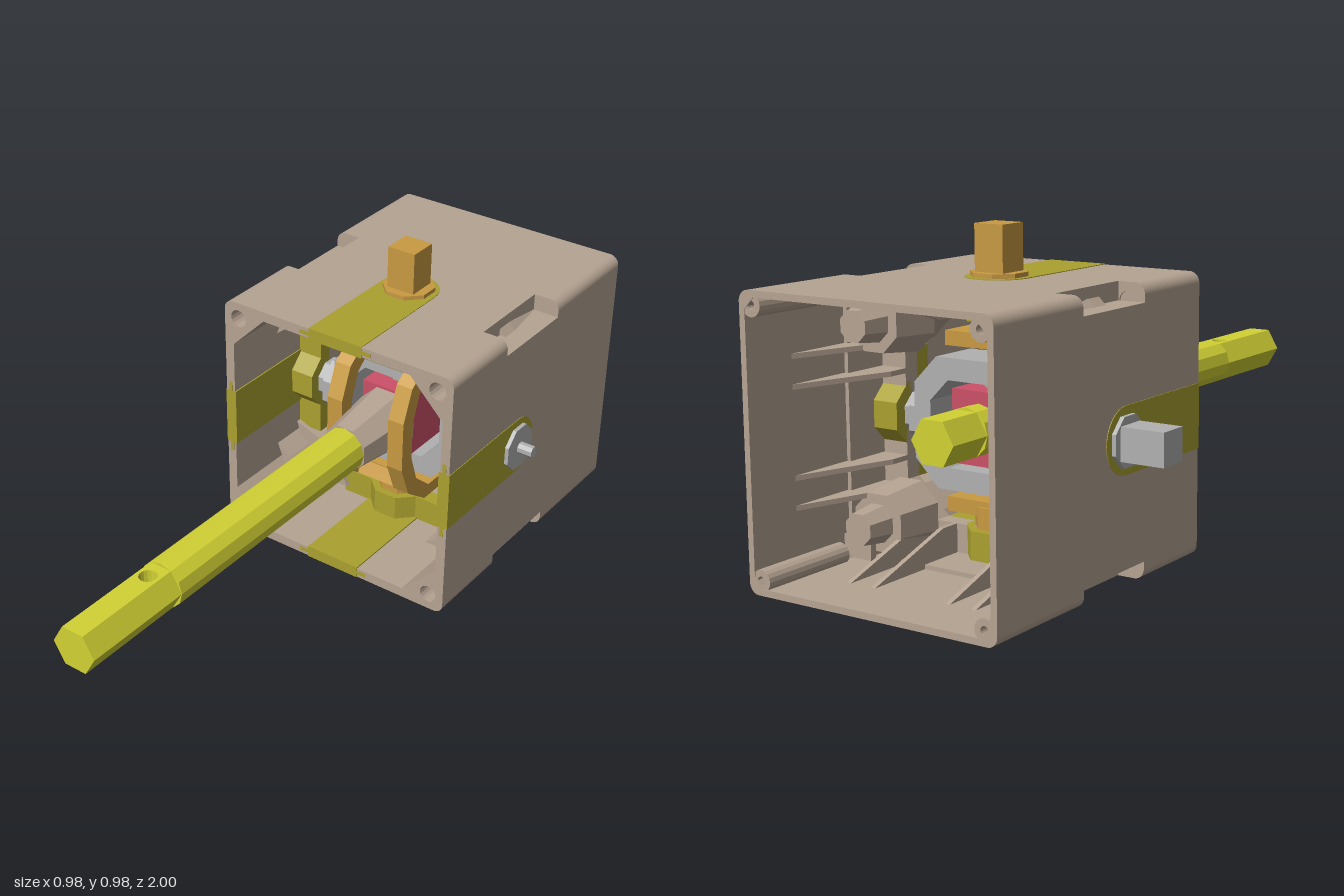
import * as THREE from 'three';

const mat = (color) => new THREE.MeshStandardMaterial({ color, flatShading: true, side: THREE.DoubleSide });
const TAN = mat(0xb5a392), OLIVE = mat(0xaaa030), YELLOW = mat(0xd2d234);
const ORANGE = mat(0xc89a42), GREY = mat(0xb0b0b0), PINK = mat(0xcc5068), GREEN = mat(0xa8b888);
const PIVOT = -0.45; // depth of the crossing axles

function add(parent, name, geo, material, x = 0, y = 0, z = 0) {
  const m = new THREE.Mesh(geo, material);
  m.name = name;
  m.position.set(x, y, z);
  parent.add(m);
  return m;
}
const box = (w, h, d) => new THREE.BoxGeometry(w, h, d);
const poly = (pts) => new THREE.Shape(pts.map(([x, y]) => new THREE.Vector2(x, y)));
const extrude = (shape, depth) => new THREE.ExtrudeGeometry(shape, { depth, bevelEnabled: false, curveSegments: 8 });
const prism = (r, len, sides, r2 = r) => new THREE.CylinderGeometry(r2, r, len, sides).rotateY(Math.PI / sides);

// Square with corners cut by (cx, cy); stepped gives square notches
function cutSquare(h, cx, cy = cx, stepped = false) {
  const pts = [];
  for (const [sx, sy] of [[1, 1], [-1, 1], [-1, -1], [1, -1]]) {
    const c = [[sx * h, sy * (h - cy)], [sx * (h - cx), sy * h]];
    if (stepped) c.splice(1, 0, [sx * (h - cx), sy * (h - cy)]);
    if (sx * sy < 0) c.reverse();
    pts.push(...c);
  }
  return poly(pts);
}
function roundedSquare(h, r) {
  const s = new THREE.Shape(), k = h - r;
  [[k, k], [-k, k], [-k, -k], [k, -k]].forEach(([x, y], i) =>
    s.absarc(x, y, r, i * Math.PI / 2, (i + 1) * Math.PI / 2, false));
  return s;
}
function circle(x, y, r) {
  return new THREE.Path().absarc(x, y, r, 0, Math.PI * 2, true);
}
const corners = [[1, 1], [-1, 1], [-1, -1], [1, -1]];

function makeHousing() {
  const g = new THREE.Group();
  g.name = 'housing';
  // front rim with screw holes in the corners
  const front = roundedSquare(0.39, 0.03);
  front.holes.push(cutSquare(0.36, 0.11), ...corners.map(([x, y]) => circle(x * 0.34, y * 0.34, 0.027)));
  add(g, 'frontShell', extrude(front, 0.275), TAN, 0, 0, -0.36);
  // middle section with notched edges
  const mid = cutSquare(0.39, 0.08, 0.05, true);
  mid.holes.push(cutSquare(0.36, 0.08, 0.05, true));
  add(g, 'notchedShell', extrude(mid, 0.28), TAN, 0, 0, -0.64);
  // open back with small screw posts
  const back = roundedSquare(0.39, 0.03);
  back.holes.push(cutSquare(0.372, 0.03));
  add(g, 'backShell', extrude(back, 0.36), TAN, 0, 0, -1);
  // inner web with an eight-sided opening
  const web = cutSquare(0.37, 0.07);
  web.holes.push(cutSquare(0.28, 0.1));
  add(g, 'web', extrude(web, 0.05), TAN, 0, 0, -0.5);
  for (const [sx, sy] of corners) {
    add(g, 'notchEnd', box(0.1, 0.07, 0.02), TAN, sx * 0.33, sy * 0.345, -0.65);
    add(g, 'holeBottom', box(0.06, 0.06, 0.02), TAN, sx * 0.34, sy * 0.34, -0.345);
    const postShape = new THREE.Shape().absarc(sx * 0.352, sy * 0.352, 0.03, 0, Math.PI * 2, false);
    postShape.holes.push(circle(sx * 0.352, sy * 0.352, 0.012));
    add(g, 'backPost', extrude(postShape, 0.3), TAN, 0, 0, -0.998);
    // stepped gussets in front of the web
    [[0.17, 0.08, 0.17], [0.2, 0.13, 0.07]].forEach(([a, b, d]) => {
      const p = [[0.365, 0.365], [0.365 - a, 0.365], [0.365 - a + 0.035, 0.365 - b + 0.03],
        [0.365 - b + 0.03, 0.365 - a + 0.035], [0.365, 0.365 - a]];
      const inner = p.map(([x, y]) => [sx * Math.min(x, 0.305 + (y < 0.335 ? 0.055 : 0)), sy * Math.min(y, 0.335)]);
      add(g, 'cornerGusset', extrude(poly(inner), d), TAN, 0, 0, -0.46);
    });
    // rear boss on the corner
    add(g, 'cornerBoss', prism(0.085, 0.14, 8, 0.1).rotateX(Math.PI / 2), TAN, sx * 0.27, sy * 0.27, -0.57);
    add(g, 'cornerBossTip', prism(0.045, 0.08, 8, 0.055).rotateX(Math.PI / 2), TAN, sx * 0.27, sy * 0.27, -0.68);
  }
  return g;
}

// One wall's bearing insert, plus the fins behind it (built for the top wall)
function makeWallFittings() {
  const g = new THREE.Group();
  g.name = 'bearingInsert';
  const u = new THREE.Shape();
  u.moveTo(0.09, 0.084);
  u.lineTo(0.09, -PIVOT);
  u.absarc(0, -PIVOT, 0.09, 0, Math.PI, false);
  u.lineTo(-0.09, 0.084);
  add(g, 'slideStrip', extrude(u, 0.036).rotateX(-Math.PI / 2), OLIVE, 0, 0.356, 0);
  add(g, 'slideTongue', box(0.24, 0.012, 0.3), OLIVE, 0, 0.374, -0.234);
  add(g, 'bearing', prism(0.098, 0.08, 8), OLIVE, 0, 0.32, PIVOT);
  add(g, 'bearingPlate', box(0.36, 0.08, 0.05), OLIVE, 0, 0.32, -0.43);
  // triangular stiffening fins
  for (const x of [-0.2, -0.12, 0.12, 0.2]) {
    const fin = extrude(poly([[0.49, 0.375], [0.49, 0.28], [0.56, 0.28], [0.85, 0.375]]), 0.014);
    fin.rotateY(Math.PI / 2);
    add(g, 'fin', fin, TAN, x - 0.007, 0, 0);
  }
  return g;
}

function makeStick() {
  const g = new THREE.Group();
  g.name = 'stick';
  const along = (r, z0, z1, sides, r2 = r) =>
    new THREE.CylinderGeometry(r2, r, z1 - z0, sides).rotateX(Math.PI / 2).translate(0, 0, (z0 + z1) / 2);
  add(g, 'stickShaft', along(0.068, -0.6, 0.67, 12), YELLOW);
  add(g, 'stickTail', along(0.0675, -0.74, -0.58, 6).rotateZ(Math.PI / 2), YELLOW);
  // six-sided tip: drilled core and two side wedges
  const R = 0.0675, f = R * Math.sqrt(3) / 2, half = R / 2;
  const core = poly([[-half, -1], [half, -1], [half, -0.67], [-half, -0.67]]);
  core.holes.push(circle(0, -0.72, 0.025));
  add(g, 'drilledTip', extrude(core, 2 * f).rotateX(-Math.PI / 2), YELLOW, 0, -f, 0);
  for (const s of [-1, 1])
    add(g, 'tipSide', extrude(poly([[s * half, -f], [s * R, 0], [s * half, f]]), 0.33), YELLOW, 0, 0, 0.67);
  // collar and hub at the pivot
  add(g, 'stickCollar', along(0.1, -0.36, -0.14, 8, 0.074).rotateZ(Math.PI / 8), TAN);
  add(g, 'hub', box(0.175, 0.2, 0.19), PINK, 0, 0, PIVOT);
  add(g, 'hubPin', prism(0.045, 0.24, 8), GREEN, 0, 0, PIVOT);
  return g;
}

// Axle along y: steps of [radius, from, to], square drive at the top, thin pin below
function makeAxle(name, material, steps) {
  const g = new THREE.Group();
  g.name = name;
  for (const s of [1, -1])
    for (const [r, a, b] of steps) add(g, 'axleStep', prism(r, b - a, 8), material, 0, s * (a + b) / 2, 0);
  add(g, 'squareDrive', box(0.09, 0.13, 0.09), material, 0, 0.465, 0);
  add(g, 'sensorPin', prism(0.018, 0.07, 8), material, 0, -0.415, 0);
  g.position.z = PIVOT;
  return g;
}

function makeOrangeYoke() {
  const g = makeAxle('verticalYoke', ORANGE, [[0.074, 0.22, 0.395], [0.078, 0.385, 0.404]]);
  // faceted arch bulging forward, split by the slot for the stick
  const outer = [[0, 0.245], [0.08, 0.245], [0.17, 0.18], [0.21, 0.08]];
  const inner = [[0, 0.205], [0.06, 0.205], [0.13, 0.145], [0.16, 0.06]];
  const flip = (a) => a.map(([z, y]) => [z, -y]).reverse();
  const arch = poly([...outer, ...flip(outer), ...inner.map(([z, y]) => [z, -y]), ...flip(inner).map(([z, y]) => [z, -y])]);
  for (const x of [-0.135, 0.082])
    add(g, 'yokeArch', extrude(arch, 0.053).rotateY(-Math.PI / 2).translate(0.053, 0, 0), ORANGE, x, 0, 0);
  for (const s of [1, -1]) {
    add(g, 'yokeEnd', box(0.27, 0.04, 0.14), ORANGE, 0, s * 0.225, 0.01);
    const brow = poly([[0.07, s * 0.245], [0.12, s * 0.216], [0.1, s * 0.175], [0.06, s * 0.205]]);
    add(g, 'yokeBrow', extrude(brow, 0.18).rotateY(-Math.PI / 2), ORANGE, 0.09, 0, 0);
  }
  return g;
}

function makeGreyYoke() {
  const g = makeAxle('horizontalYoke', GREY, [[0.09, 0.2, 0.245], [0.062, 0.24, 0.29], [0.078, 0.28, 0.39], [0.072, 0.385, 0.404]]);
  g.rotation.z = Math.PI / 2;
  // eight-sided ring around the hub
  const oct = (a, b, c) => poly([[a, b - c], [a - c, b], [c - a, b], [-a, b - c], [-a, c - b], [c - a, -b], [a - c, -b], [a, c - b]]);
  const ring = oct(0.178, 0.218, 0.075);
  ring.holes.push(oct(0.118, 0.165, 0.06));
  add(g, 'yokeRing', extrude(ring, 0.15), GREY, 0, 0, -0.09);
  return g;
}

export function createModel() {
  const model = new THREE.Group();
  model.name = 'stickGimbal';
  const body = new THREE.Group();
  body.name = 'body';
  body.position.set(0.038, 0.45, 0);
  model.add(body);
  body.add(makeHousing());
  for (let k = 0; k < 4; k++) {
    const w = makeWallFittings();
    w.rotation.z = k * Math.PI / 2;
    body.add(w);
  }
  body.add(makeStick(), makeOrangeYoke(), makeGreyYoke());
  return model;
}
